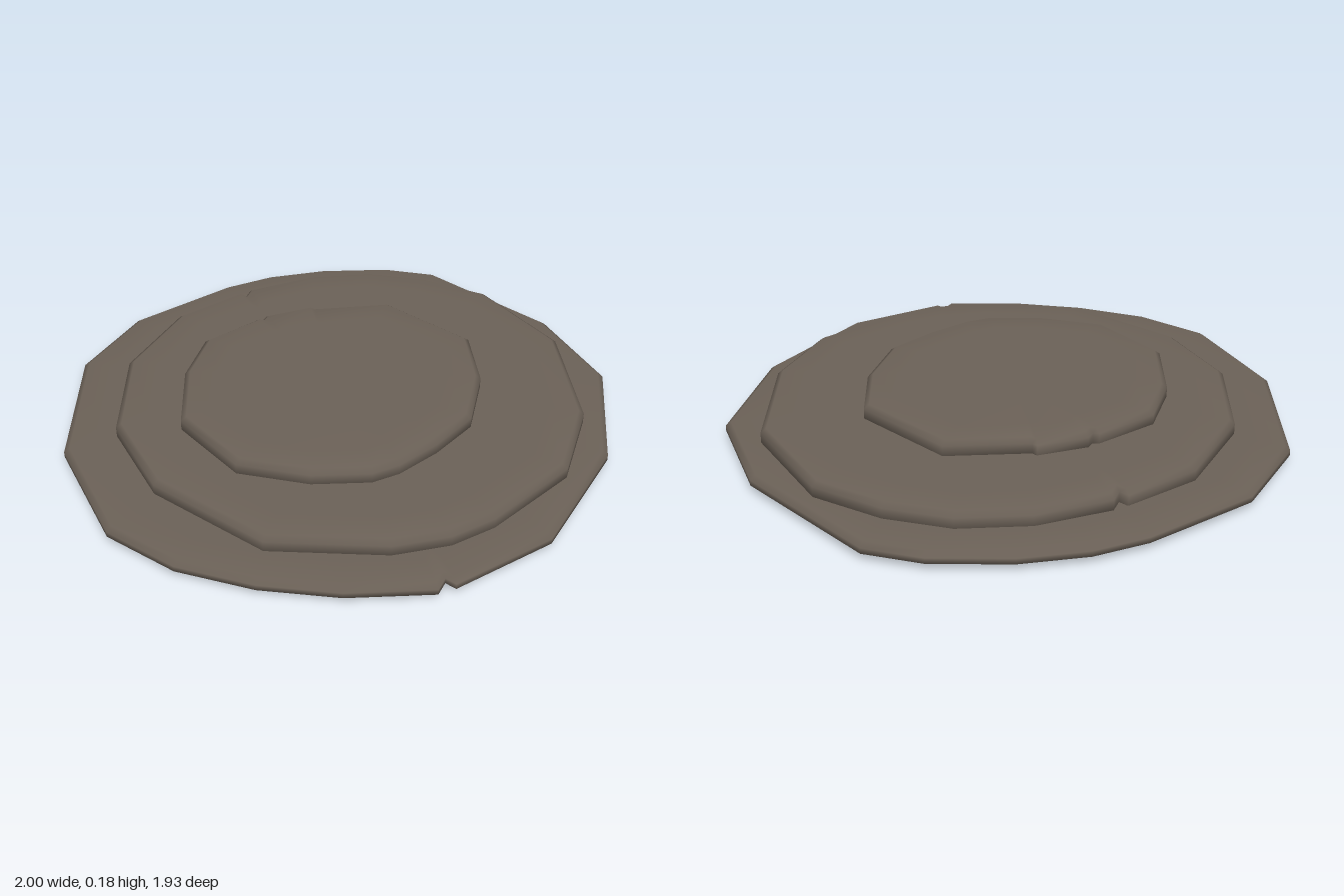
import * as THREE from 'three';

// Worn, chipped outlines of the three slabs as x, z pairs
const BASE = [-1, .07, -.91, -.385, -.59, -.82, -.27, -.97, .15, -.97, .34, -.93, .55, -.835, .77, -.68, .9, -.525,
  1, .03, .91, .43, .57, .775, .11, .965, -.27, .935, -.28, .895, -.33, .92, -.57, .755, -.76, .565, -.915, .34];
const MIDDLE = [-.79, .02, -.73, -.33, -.49, -.65, -.165, -.815, .11, -.815, .12, -.78, .165, -.81, .42, -.745,
  .63, -.62, .78, -.445, .895, -.21, .875, .21, .62, .605, .35, .79, -.015, .83, -.18, .81, -.36, .73, -.665, .47];
const TOP = [-.57, -.155, -.405, -.39, -.23, -.525, .005, -.53, .02, -.515, .05, -.53, .22, -.48, .225, -.46,
  .475, -.31, .555, .065, .42, .28, .23, .44, .04, .48, -.13, .49, -.23, .47, -.395, .355, -.555, .16];

// Lofts an outline through rings of [inset, height]; an inset of 9 closes at the centre
function slab(outline, rings) {
  const n = outline.length / 2;
  const pos = [], index = [];
  rings.forEach(([inset, y], k) => {
    for (let i = 0; i < n; i++) {
      const x = outline[2 * i], z = outline[2 * i + 1];
      const s = Math.max(0, 1 - inset / Math.hypot(x, z));
      pos.push(x * s, y, z * s);
      if (k === 0) continue;
      const a = (k - 1) * n + i, a2 = (k - 1) * n + (i + 1) % n;
      index.push(a, a + n, a2, a2, a + n, a2 + n);
    }
  });
  const geometry = new THREE.BufferGeometry();
  geometry.setAttribute('position', new THREE.Float32BufferAttribute(pos, 3));
  geometry.setIndex(index);
  geometry.computeVertexNormals();
  return geometry;
}

// Rounded rim and flat top shared by every slab
const rim = (top) => [[0, top - .016], [.02, top - .002], [.12, top], [9, top]];

export function createModel() {
  const group = new THREE.Group();
  const stone = new THREE.MeshStandardMaterial({ color: 0x6b6157 });
  stone.name = 'brown stone';

  const add = (name, outline, rings) => {
    const mesh = new THREE.Mesh(slab(outline, rings), stone);
    mesh.name = name;
    group.add(mesh);
  };

  // Base slab with a slightly bulging underside
  add('baseSlab', BASE, [[9, 0], [.15, .012], [.03, .018], [0, .03], ...rim(.066)]);
  // Stacked upper slabs
  add('middleSlab', MIDDLE, [[9, .062], [.02, .062], [0, .07], ...rim(.123)]);
  add('topSlab', TOP, [[9, .12], [.02, .12], [0, .13], ...rim(.182)]);

  return group;
}
